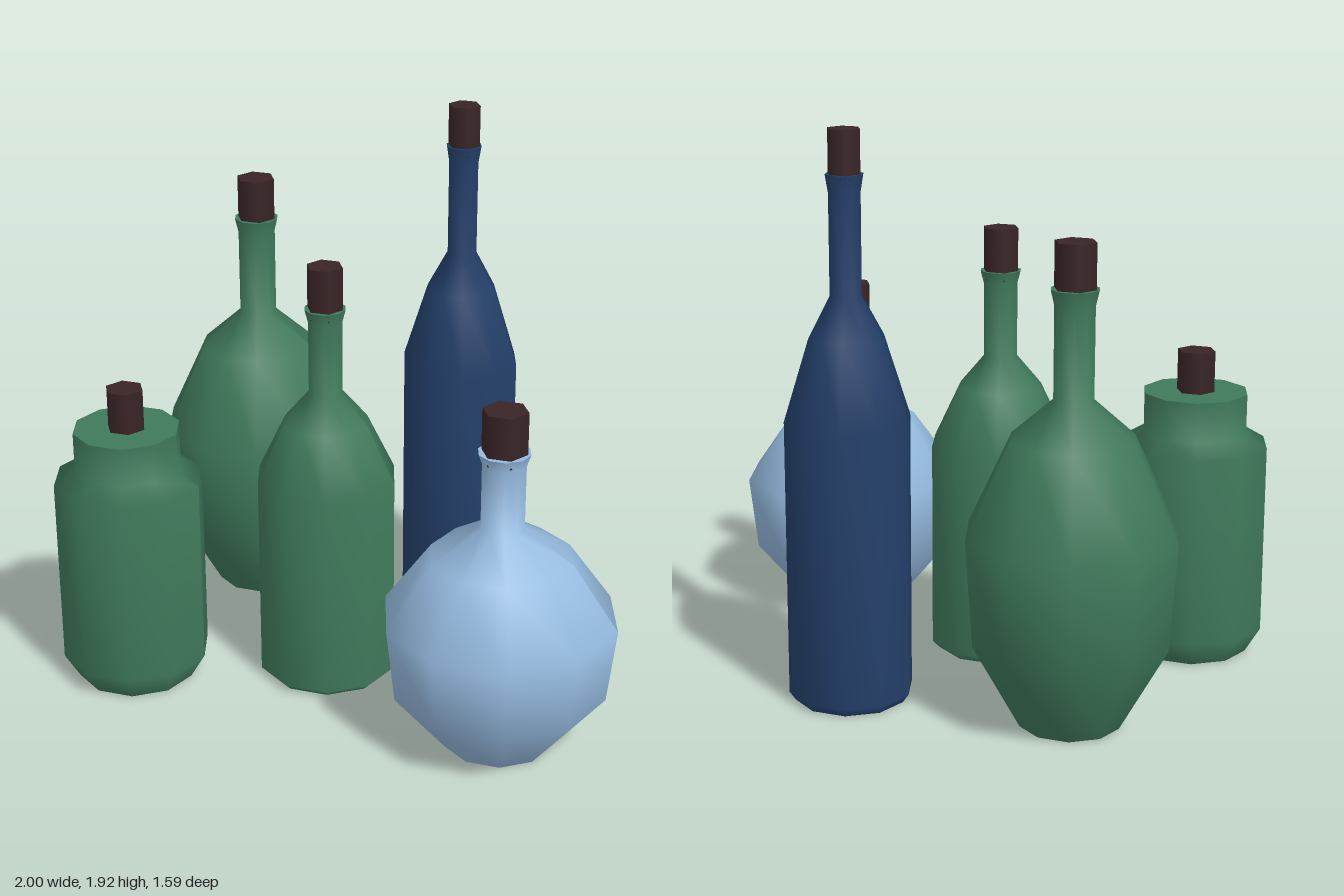
import * as THREE from 'three';

const SIDES = 10;

const material = (name, color) => {
  const m = new THREE.MeshStandardMaterial({ color });
  m.name = name;
  return m;
};

// One corked bottle: profile is [radius, height] from the base rim up to the lip
function makeBottle({ name, x, z, glass, cork, profile, corkRadius, corkTop }) {
  const bottle = new THREE.Group();
  bottle.name = name;
  bottle.position.set(x, 0, z);

  const add = (partName, geometry, mat, y = 0) => {
    const mesh = new THREE.Mesh(geometry, mat);
    mesh.name = partName;
    mesh.position.y = y;
    bottle.add(mesh);
  };

  // Smooth ten-sided wall
  const points = profile.map(([r, y]) => new THREE.Vector2(r, y));
  const wall = new THREE.LatheGeometry(points, SIDES, Math.PI / 2);
  wall.computeVertexNormals();
  add('glassWall', wall, glass);

  // Flat base and flat lip
  const [lipRadius, lipY] = profile[profile.length - 1];
  add('base', new THREE.CircleGeometry(profile[0][0], SIDES).rotateX(Math.PI / 2), glass);
  add('lip', new THREE.CircleGeometry(lipRadius, SIDES).rotateX(-Math.PI / 2), glass, lipY);

  // Six-sided stopper
  const sunk = 0.03;
  const height = corkTop - lipY + sunk;
  const stopper = new THREE.CylinderGeometry(corkRadius, corkRadius, height, 6, 1, false, Math.PI / 2);
  add('cork', stopper, cork, corkTop - height / 2);
  return bottle;
}

export function createModel() {
  const green = material('greenGlass', 0x3f795b);
  const navy = material('navyGlass', 0x233f69);
  const sky = material('paleBlueGlass', 0x95badf);
  const cork = material('darkCork', 0x3a2526);

  const model = new THREE.Group();
  model.name = 'bottles';

  const bottles = [
    {
      name: 'roundGreenBottle', x: -0.565, z: -0.46, glass: green, corkRadius: 0.07, corkTop: 1.6,
      profile: [[0.17, 0], [0.33, 0.29], [0.355, 0.65], [0.208, 0.965], [0.068, 1.09],
        [0.068, 1.4], [0.08, 1.45]],
    },
    {
      name: 'tallNavyBottle', x: 0.195, z: -0.515, glass: navy, corkRadius: 0.057, corkTop: 1.92,
      profile: [[0.19, 0], [0.211, 0.03], [0.211, 0.97], [0.125, 1.245], [0.053, 1.38],
        [0.053, 1.715], [0.063, 1.775]],
    },
    {
      name: 'slimGreenBottle', x: -0.1, z: 0.125, glass: green, corkRadius: 0.063, corkTop: 1.515,
      profile: [[0.222, 0], [0.246, 0.025], [0.246, 0.75], [0.148, 0.955], [0.06, 1.06],
        [0.06, 1.32], [0.072, 1.365]],
    },
    {
      name: 'greenJar', x: -0.74, z: 0.36, glass: green, corkRadius: 0.067, corkTop: 1.085,
      profile: [[0.207, 0], [0.26, 0.09], [0.26, 0.755], [0.185, 0.8], [0.185, 0.94]],
    },
    {
      name: 'roundPaleBottle', x: 0.603, z: 0.415, glass: sky, corkRadius: 0.077, corkTop: 1.21,
      profile: [[0.187, 0], [0.366, 0.215], [0.396, 0.475], [0.24, 0.695], [0.074, 0.8],
        [0.074, 1.025], [0.088, 1.065]],
    },
  ];
  for (const spec of bottles) model.add(makeBottle({ ...spec, cork }));
  return model;
}
